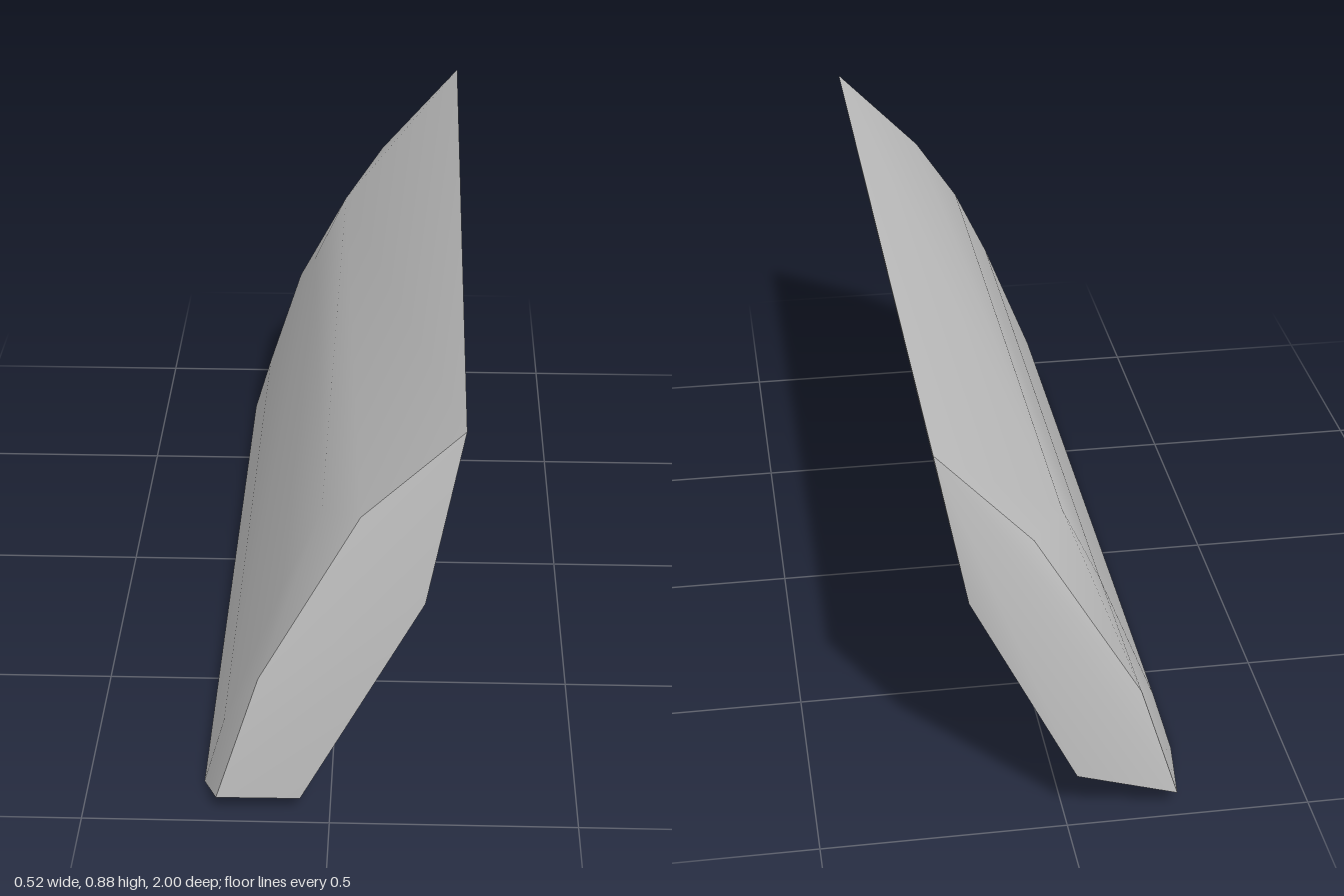
import * as THREE from 'three';
import { ConvexGeometry } from 'three/addons/geometries/ConvexGeometry.js';
import { toCreasedNormals } from 'three/addons/utils/BufferGeometryUtils.js';

export function createModel() {
  const group = new THREE.Group();
  group.name = 'leaningStoneSlab';
  const stone = new THREE.MeshStandardMaterial({ color: 0xc4c4c4 });
  stone.name = 'paleGreyStone';

  // Outline of the front end
  const frontEnd = [
    [-0.23, 0.035, 0.97], [-0.14, 0.325, 0.97], [0.06, 0.69, 0.96],
    [0.256, 0.885, 0.975], [0.185, 0.525, 1.0], [-0.06, 0.04, 0.975],
  ];
  // Outline of the back end, with a chipped lower corner
  const backEnd = [
    [-0.23, 0.04, -0.98], [-0.148, 0.3, -0.98], [0.07, 0.67, -0.98],
    [0.262, 0.882, -1.0], [0.195, 0.54, -0.98], [-0.02, 0.115, -0.993],
    [-0.06, 0.04, -0.87],
  ];
  // Swelling of the upper side between the ends: x, y, z of front, z of back
  const ridges = [
    [-0.02, 0.61, 0.8, -0.78], [-0.10, 0.44, 0.82, -0.78],
    [-0.22, 0.14, 0.85, -0.78], [-0.262, 0, 0.87, -0.78],
  ];

  const points = [...frontEnd, ...backEnd].map((p) => new THREE.Vector3(...p));
  for (const [x, y, zFront, zBack] of ridges) {
    points.push(new THREE.Vector3(x, y, zFront), new THREE.Vector3(x, y, zBack));
  }

  // Soft upper side, crisp end edges
  const geometry = toCreasedNormals(new ConvexGeometry(points), THREE.MathUtils.degToRad(40));
  const slab = new THREE.Mesh(geometry, stone);
  slab.name = 'slab';
  group.add(slab);
  return group;
}
